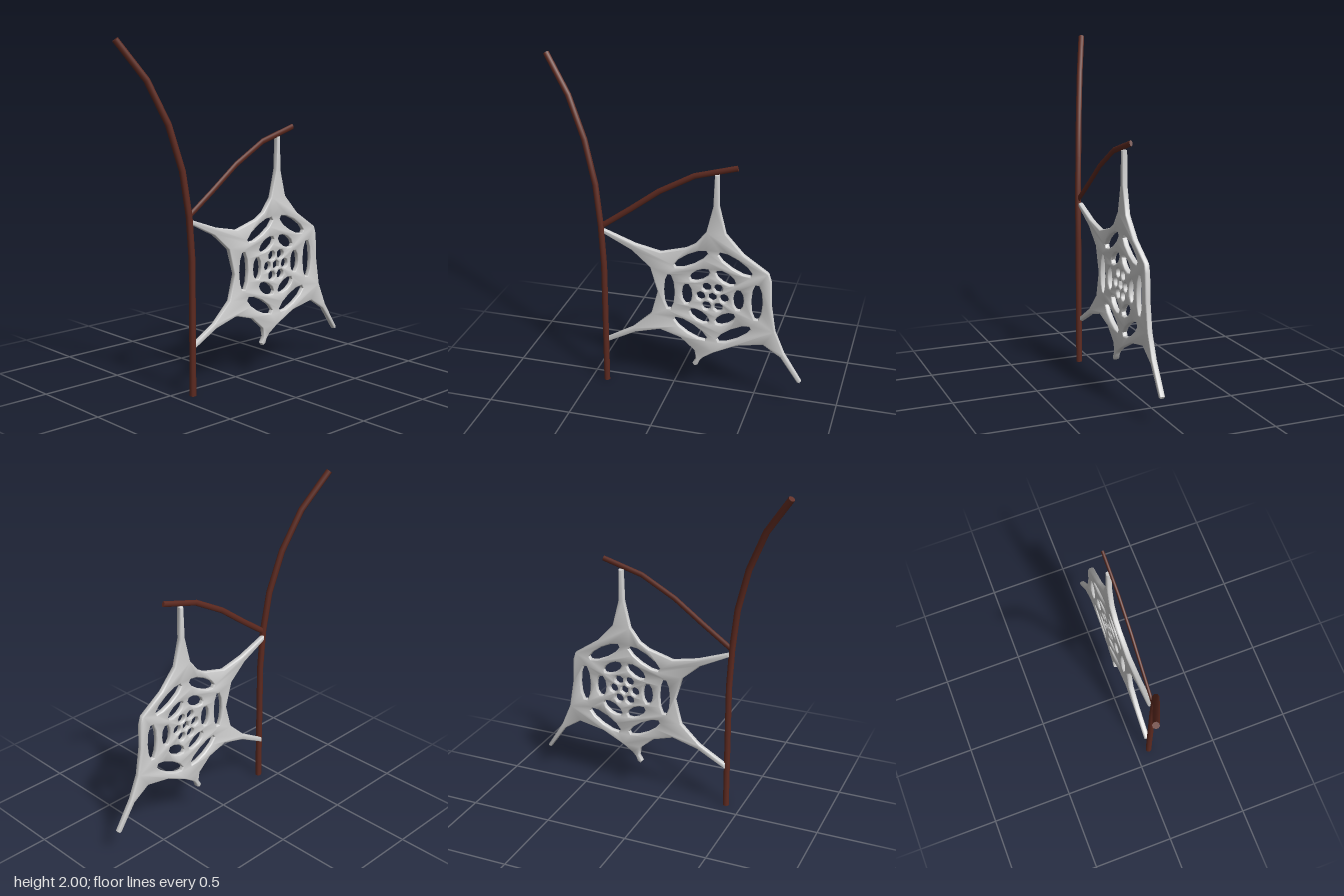
import * as THREE from 'three';
import { toCreasedNormals } from 'three/addons/utils/BufferGeometryUtils.js';

// Straight-segmented path whose samples land exactly on the given points
class Polyline extends THREE.Curve {
  constructor(points) { super(); this.points = points; }
  getPoint(t, target = new THREE.Vector3()) {
    const n = this.points.length - 1;
    const i = Math.min(Math.floor(t * n + 1e-9), n - 1);
    return target.lerpVectors(this.points[i], this.points[i + 1], t * n - i);
  }
  getPointAt(t, target) { return this.getPoint(t, target); }
  getTangentAt(t, target) { return this.getTangent(t, target); }
}

// Round limb along a path, closed at both ends
function limb(name, coords, radius, material) {
  const group = new THREE.Group();
  group.name = name;
  const points = coords.map(c => new THREE.Vector3(...c));
  const n = points.length - 1;
  const tube = new THREE.Mesh(
    new THREE.TubeGeometry(new Polyline(points), n, radius, 8), material);
  tube.name = name + 'Wood';
  group.add(tube);
  [[0, 1], [n, n - 1]].forEach(([end, inner]) => {
    const cap = new THREE.Mesh(new THREE.CircleGeometry(radius, 8), material);
    cap.name = name + 'End';
    cap.position.copy(points[end]);
    cap.lookAt(points[end].clone().multiplyScalar(2).sub(points[inner]));
    group.add(cap);
  });
  return group;
}

// Oval hole at a polar position round the hub, long axis along the ring
function ovalHole(cx, cy, ringRadius, angle, halfDepth, halfLength, sides) {
  const x = cx + ringRadius * Math.cos(angle), y = cy + ringRadius * Math.sin(angle);
  const points = [];
  for (let i = 0; i < sides; i++) {
    const a = (i / sides) * Math.PI * 2;
    const u = halfDepth * Math.cos(a), v = halfLength * Math.sin(a);
    points.push(new THREE.Vector2(
      x + u * Math.cos(angle) - v * Math.sin(angle),
      y + u * Math.sin(angle) + v * Math.cos(angle)));
  }
  return new THREE.Path(points);
}

function webGeometry() {
  // Outer edge with its six anchor threads
  const edge = [
    [0.255, 1.42], [0.281, 1.42], [0.285, 1.225], [0.325, 1.066], [0.43, 0.95],
    [0.578, 0.85], [0.594, 0.80], [0.6, 0.65], [0.627, 0.483], [0.685, 0.345],
    [0.792, 0.175], [0.785, 0.163], [0.77, 0.165], [0.664, 0.318], [0.558, 0.387],
    [0.4, 0.355], [0.262, 0.286], [0.2, 0.244], [0.178, 0.218], [0.168, 0.19],
    [0.148, 0.18], [0.135, 0.197], [0.156, 0.233], [0.147, 0.286], [0.061, 0.36],
    [-0.066, 0.398], [-0.22, 0.355], [-0.4, 0.26], [-0.4, 0.29], [-0.235, 0.387],
    [-0.119, 0.499], [-0.08, 0.65], [-0.124, 0.80], [-0.235, 0.897],
    [-0.405, 0.982], [-0.405, 1.008], [-0.214, 0.939], [-0.061, 0.907],
    [0.09, 0.95], [0.148, 0.985], [0.21, 1.066], [0.248, 1.225],
  ];
  const shape = new THREE.Shape(edge.map(p => new THREE.Vector2(...p)));

  // Hub hole and three rings of six holes
  const cx = 0.252, cy = 0.657;
  shape.holes.push(ovalHole(cx, cy, 0, Math.PI / 6, 0.027, 0.027, 6));
  const rings = [
    [0.07, 0.027, 0.028, 8],
    [0.154, 0.032, 0.067, 10],
    [0.262, 0.034, 0.116, 10],
  ];
  for (const [radius, depth, length, sides] of rings) {
    for (let i = 0; i < 6; i++) {
      shape.holes.push(ovalHole(cx, cy, radius, i * Math.PI / 3, depth, length, sides));
    }
  }

  // Rounded edges that keep the outline at full size
  const geometry = new THREE.ExtrudeGeometry(shape, {
    depth: 0.01, bevelEnabled: true, bevelThickness: 0.011,
    bevelSize: 0.007, bevelOffset: -0.007, bevelSegments: 3,
  });
  geometry.translate(0, 0, 0.063);
  return toCreasedNormals(geometry, 0.9);
}

export function createModel() {
  const model = new THREE.Group();
  model.name = 'branchWithWeb';

  const bark = new THREE.MeshStandardMaterial({ color: 0x5e2a20 });
  bark.name = 'bark';
  const silk = new THREE.MeshStandardMaterial({ color: 0xd0d0d0 });
  silk.name = 'silk';

  // Main stem, bending away at the top
  model.add(limb('stem', [
    [-0.405, 0, 0.085], [-0.405, 0.78, 0.085], [-0.42, 1.03, 0.08],
    [-0.452, 1.28, 0.064], [-0.521, 1.535, 0.033], [-0.627, 1.775, -0.015],
    [-0.778, 1.99, -0.085],
  ], 0.019, bark));

  // Flattened side twig carrying the top thread
  const twig = limb('sideTwig', [
    [-0.415, 1.03, 0], [-0.24, 1.155, 0], [-0.066, 1.285, 0],
    [0.14, 1.4, 0], [0.385, 1.47, 0],
  ], 0.017, bark);
  twig.scale.z = 0.55;
  twig.position.z = 0.077;
  model.add(twig);

  // Web sheet
  const web = new THREE.Mesh(webGeometry(), silk);
  web.name = 'web';
  model.add(web);

  return model;
}
